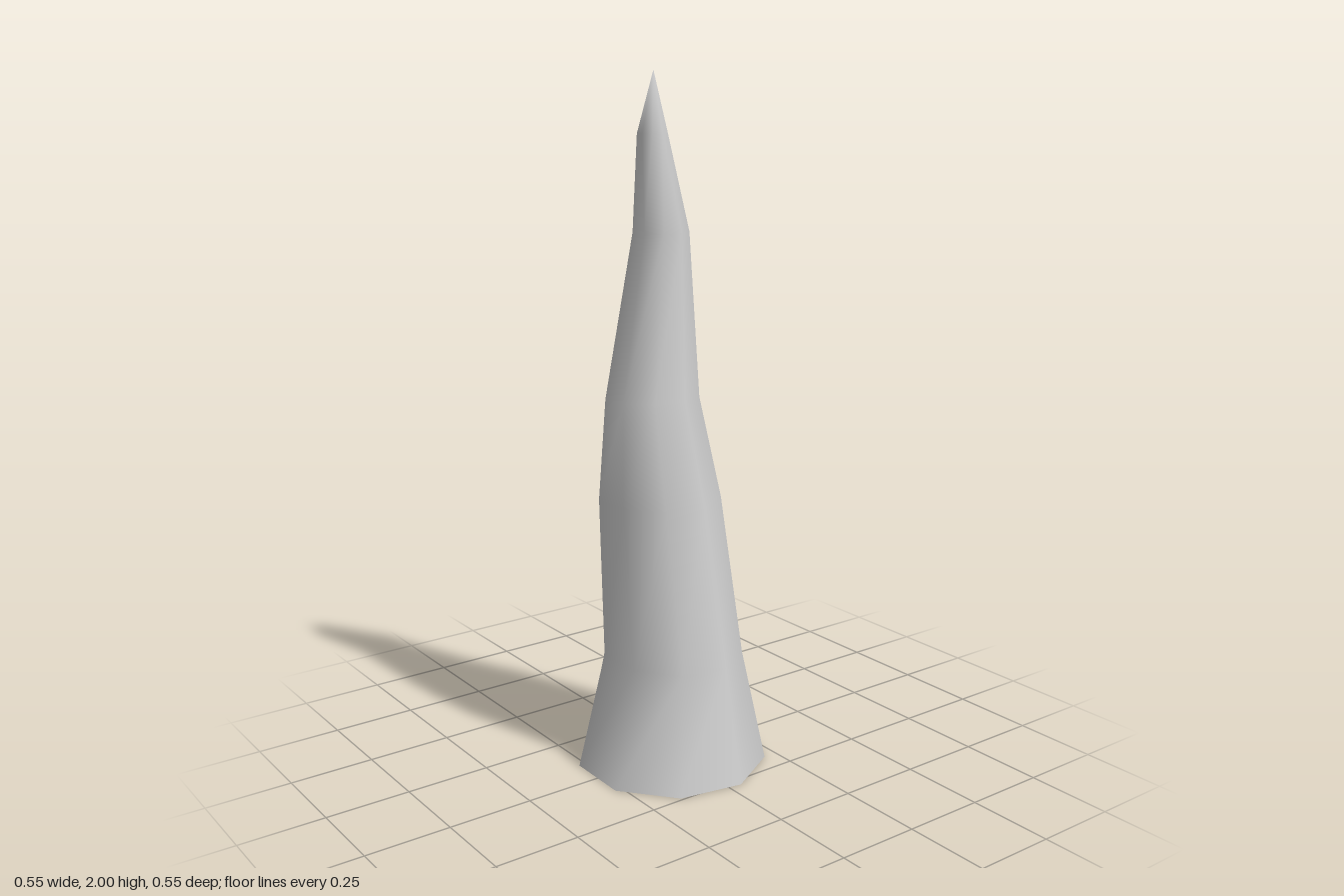
import * as THREE from 'three';

const SIDES = 9;
const START = THREE.MathUtils.degToRad(-9.5);

// Cross-sections from base to top: [y, centre x, centre z, radius x, radius z]
const RINGS = [
  [0, 0, 0.007, 0.281, 0.282],
  [0.33, -0.02, -0.01, 0.223, 0.2],
  [0.8, -0.05, 0.013, 0.183, 0.178],
  [1.09, -0.075, 0.019, 0.132, 0.139],
  [1.56, -0.072, -0.01, 0.084, 0.08],
  [1.83, -0.073, 0.016, 0.038, 0.046],
];
const TIP = [-0.055, 2, 0.025];

// Leaning nine-sided spike, open underneath, with smooth shared normals
function spikeGeometry() {
  const positions = [];
  const index = [];
  for (const [y, cx, cz, rx, rz] of RINGS) {
    for (let j = 0; j < SIDES; j++) {
      const a = START + (j / SIDES) * Math.PI * 2;
      positions.push(cx + rx * Math.cos(a), y, cz + rz * Math.sin(a));
    }
  }
  const tip = positions.length / 3;
  positions.push(...TIP);

  for (let i = 0; i < RINGS.length; i++) {
    for (let j = 0; j < SIDES; j++) {
      const a = i * SIDES + j;
      const b = i * SIDES + ((j + 1) % SIDES);
      if (i === RINGS.length - 1) index.push(a, tip, b);
      else index.push(a, a + SIDES, b, b, a + SIDES, b + SIDES);
    }
  }
  const geometry = new THREE.BufferGeometry();
  geometry.setAttribute('position', new THREE.Float32BufferAttribute(positions, 3));
  geometry.setIndex(index);
  geometry.computeVertexNormals();
  return geometry;
}

export function createModel() {
  const group = new THREE.Group();
  group.name = 'stalagmite';
  const material = new THREE.MeshStandardMaterial({ color: 0xcccccc, side: THREE.DoubleSide });
  const spike = new THREE.Mesh(spikeGeometry(), material);
  spike.name = 'spike';
  group.add(spike);
  return group;
}
